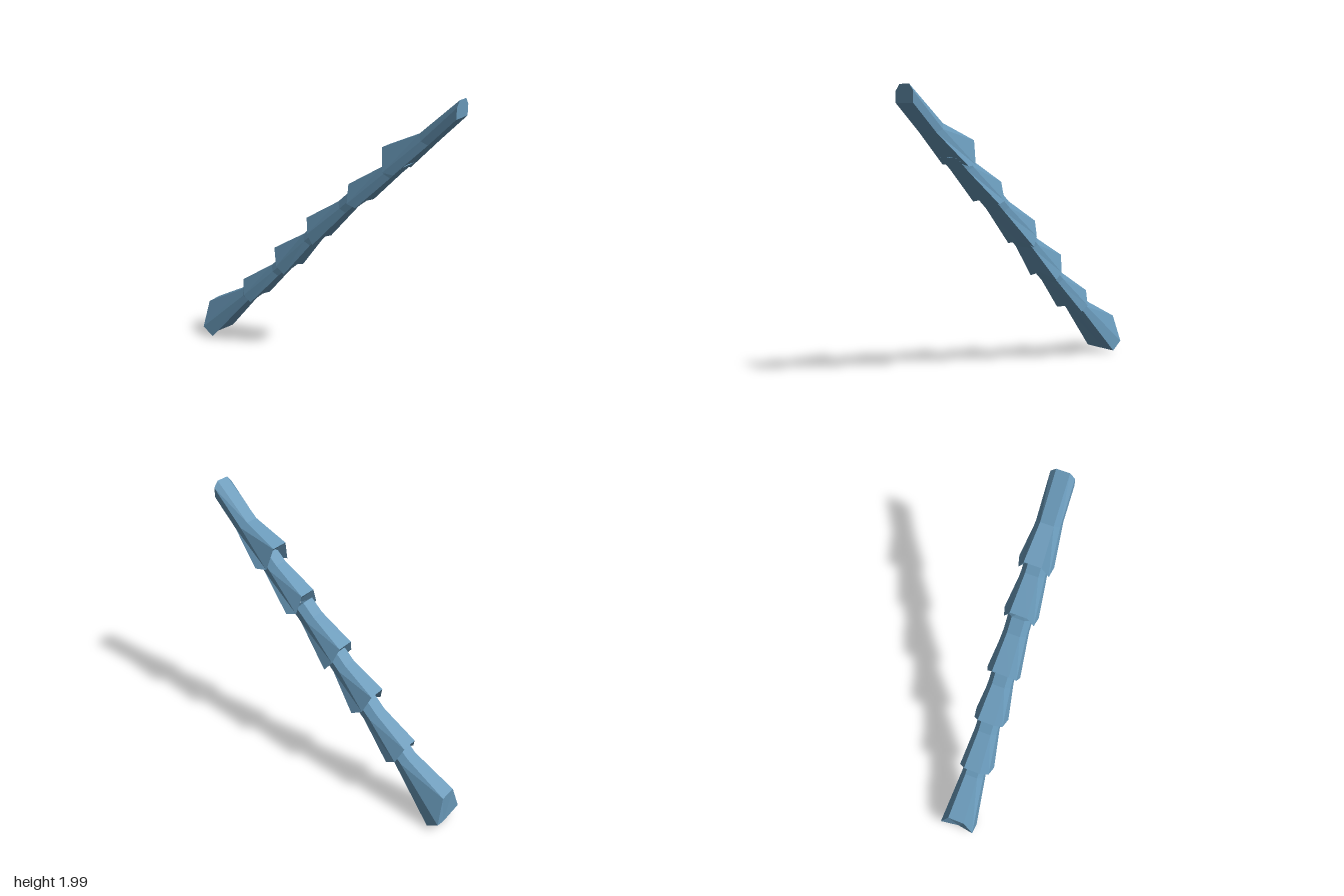
import * as THREE from 'three';

// Each segment: flared rim corners [x, y] (top, shoulder, base, keel),
// half widths at front/back, and the top corner where the shaft begins.
const SEGMENTS = [
  { top: [-0.97, 0.28], side: [-0.985, 0.09], base: [-0.9, 0.03], keel: [-0.955, 0.01], front: 0.125, back: 0.122, sideW: 0.125, neck: [-0.66, 0.445] },
  { top: [-0.64, 0.53], side: [-0.6, 0.43], base: [-0.53, 0.395], keel: [-0.51, 0.425], front: 0.125, back: 0.112, sideW: 0.11, neck: [-0.39, 0.69] },
  { top: [-0.355, 0.83], side: [-0.31, 0.715], base: [-0.235, 0.675], keel: [-0.2, 0.72], front: 0.12, back: 0.122, sideW: 0.105, neck: [-0.12, 0.97] },
  { top: [-0.08, 1.1], side: [-0.05, 1.0], base: [0, 0.935], keel: [0.02, 0.965], front: 0.115, back: 0.125, sideW: 0.105, neck: [0.16, 1.25] },
  { top: [0.245, 1.385], side: [0.26, 1.265], base: [0.33, 1.25], keel: [0.35, 1.275], front: 0.115, back: 0.127, sideW: 0.105, neck: [0.48, 1.53] },
  { top: [0.485, 1.66], side: [0.515, 1.51], base: [0.595, 1.505], keel: [0.62, 1.54], front: 0.113, back: 0.128, sideW: 0.105, neck: [0.73, 1.77] },
];

// Seven-sided section, running from the front top corner under to the back
function ring(top, side, base, keel, topW, sideW, front, back) {
  return [
    [...top, topW], [...side, sideW], [...base, front], [...keel, 0],
    [...base, -back], [...side, -sideW], [...top, -topW],
  ];
}

// Narrow shaft section hanging from its top corner
function shaftRing([x, y]) {
  const base = [x + 0.08, y - 0.055];
  return ring([x, y], [x + 0.03, y - 0.035], base, base, 0.045, 0.08, 0.083, 0.078);
}

// Join the sections and close both ends
function loft(rings) {
  const positions = [];
  const tri = (a, b, c) => positions.push(...a, ...b, ...c);
  const n = rings[0].length;
  for (let r = 0; r < rings.length - 1; r++) {
    const a = rings[r], b = rings[r + 1];
    for (let i = 0; i < n; i++) {
      const j = (i + 1) % n;
      tri(a[i], a[j], b[i]);
      tri(a[j], b[j], b[i]);
    }
  }
  // fan from the keel keeps the notched rim tidy
  const first = rings[0], last = rings[rings.length - 1];
  for (let k = 1; k < n - 1; k++) {
    const i = (3 + k) % n, j = (4 + k) % n;
    tri(first[3], first[j], first[i]);
    tri(last[3], last[i], last[j]);
  }
  const geometry = new THREE.BufferGeometry();
  geometry.setAttribute('position', new THREE.Float32BufferAttribute(positions, 3));
  geometry.computeVertexNormals();
  return geometry;
}

export function createModel() {
  const model = new THREE.Group();
  model.name = 'segmentedStalk';
  const blue = new THREE.MeshStandardMaterial({ color: 0x6898b8, flatShading: true });
  blue.name = 'steelBlue';

  SEGMENTS.forEach((s, i) => {
    const rim = ring(s.top, s.side, s.base, s.keel, 0.06, s.sideW, s.front, s.back);
    // the last shaft is cut upright; the others tuck into the next flare
    const end = i === SEGMENTS.length - 1
      ? ring([0.985, 2], [0.985, 1.96], [0.985, 1.89], [0.985, 1.89], 0.045, 0.08, 0.083, 0.078)
      : shaftRing([s.neck[0] + 0.085, s.neck[1] + 0.08]);
    const mesh = new THREE.Mesh(loft([rim, shaftRing(s.neck), end]), blue);
    mesh.name = `stalkSegment${i + 1}`;
    model.add(mesh);
  });
  return model;
}
